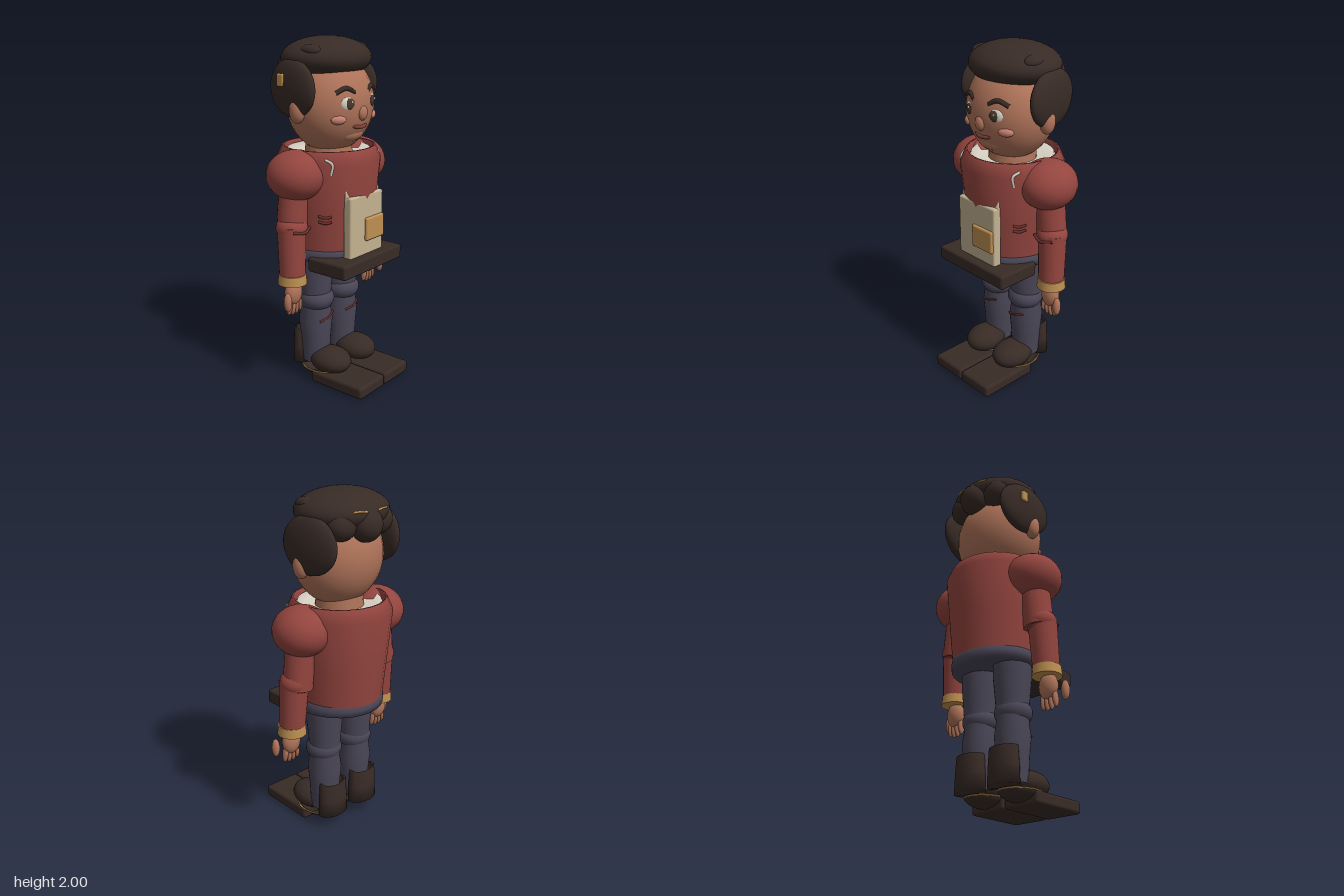
import * as THREE from 'three';
import { RoundedBoxGeometry } from 'three/addons/geometries/RoundedBoxGeometry.js';

const mat = (color) => new THREE.MeshStandardMaterial({ color, side: THREE.DoubleSide });
const RED = mat(0x94453f), DARK_RED = mat(0x6b2e2b), SLATE = mat(0x4a4657), DARK = mat(0x382b26),
  SKIN = mat(0xb0745a), TAN = mat(0xc4b392), GOLD = mat(0xbd8f50), CREAM = mat(0xd8d2c4),
  BLUSH = mat(0xc98072), BROWN = mat(0x4a382f), LIP = mat(0x7c4038);

export function createModel() {
  const root = new THREE.Group();

  const add = (name, geo, material, pos = [0, 0, 0], rot = [0, 0, 0], scale = [1, 1, 1], parent = root) => {
    const m = new THREE.Mesh(geo, material);
    m.name = name;
    m.position.set(...pos);
    m.rotation.set(...rot);
    m.scale.set(...scale);
    parent.add(m);
    return m;
  };
  const unitBall = new THREE.SphereGeometry(1, 28, 20);
  const ball = (name, material, pos, radii, rot, parent) => add(name, unitBall, material, pos, rot, radii, parent);
  const box = (name, material, x, y, z, w, h, d, r, parent) =>
    add(name, new RoundedBoxGeometry(w, h, d, 3, r), material, [x, y, z], undefined, undefined, parent);
  const lathe = (name, material, pts, pos, scale, parent) =>
    add(name, new THREE.LatheGeometry(pts.map((p) => new THREE.Vector2(...p)), 28), material, pos, undefined, scale, parent);
  const tube = (name, material, pts, r, parent) =>
    add(name, new THREE.TubeGeometry(new THREE.CatmullRomCurve3(pts.map((p) => new THREE.Vector3(...p))), 14, r, 8),
      material, undefined, undefined, undefined, parent);
  const group = (name) => {
    const g = new THREE.Group();
    g.name = name;
    root.add(g);
    return g;
  };

  // Torso: open jacket with a shirt inside, and a waistband
  lathe('jacket', RED, [[0.25, 0.79], [0.275, 1.05], [0.3, 1.32], [0.268, 1.392], [0.255, 1.392], [0.25, 1.35]], [0, 0, -0.06]);
  lathe('shirtCollar', CREAM, [[0.25, 1.34], [0.235, 1.375], [0.2, 1.35], [0, 1.34]], [0, 0, -0.06]);
  lathe('waistband', SLATE, [[0, 0.765], [0.235, 0.755], [0.258, 0.757], [0.262, 0.79], [0.255, 0.822], [0.24, 0.822]], [0, 0, -0.055]);

  // Tray with the upright bag
  box('tray', DARK, 0, 0.747, 0.14, 0.54, 0.085, 0.27, 0.015);
  box('bag', TAN, 0, 0.96, 0.193, 0.3, 0.36, 0.055, 0.012);
  box('bagPocket', GOLD, 0.06, 0.935, 0.225, 0.165, 0.135, 0.025, 0.011);
  for (const s of [-1, 1])
    add('bagCorner', new THREE.ConeGeometry(0.022, 0.07, 12), TAN, [s * 0.14, 1.155, 0.18], [0, 0, -s * 0.25]);

  // Head and face
  add('neck', new THREE.CylinderGeometry(0.13, 0.14, 0.12, 24), SKIN, [0, 1.38, -0.06]);
  ball('head', SKIN, [0, 1.63, -0.045], [0.265, 0.28, 0.235]);
  ball('chin', SKIN, [0, 1.475, 0.09], [0.11, 0.055, 0.06]);
  ball('nose', SKIN, [0, 1.59, 0.18], [0.035, 0.042, 0.025]);
  tube('mouth', LIP, [[-0.07, 1.528, 0.148], [-0.035, 1.515, 0.166], [0, 1.511, 0.17], [0.035, 1.515, 0.166], [0.07, 1.528, 0.148]], 0.011);
  for (const s of [-1, 1]) {
    ball('ear', SKIN, [s * 0.272, 1.612, -0.055], [0.042, 0.072, 0.046]);
    ball('eyeWhite', CREAM, [s * 0.105, 1.648, 0.155], [0.044, 0.04, 0.02], [0, s * 0.35, 0]);
    ball('iris', BROWN, [s * 0.1, 1.648, 0.171], [0.028, 0.03, 0.01], [0, s * 0.35, 0]);
    ball('eyeGlint', CREAM, [s * 0.1 + 0.008, 1.658, 0.181], [0.007, 0.007, 0.004]);
    tube('eyebrow', DARK, [[s * 0.055, 1.705, 0.168], [s * 0.11, 1.73, 0.152], [s * 0.168, 1.705, 0.125]], 0.013);
    ball('cheek', BLUSH, [s * 0.152, 1.563, 0.134], [0.044, 0.025, 0.02], [0, s * 0.55, 0]);
  }

  // Hair
  ball('hairTop', DARK, [0, 1.878, -0.075], [0.272, 0.121, 0.243]);
  ball('hairBack', DARK, [0, 1.825, -0.26], [0.09, 0.095, 0.09]);
  for (const s of [-1, 1]) {
    ball('hairSide', DARK, [s * 0.252, 1.725, -0.105], [0.054, 0.16, 0.18], [0, s * 0.15, 0]);
    ball('hairBackLobe', DARK, [s * 0.13, 1.83, -0.21], [0.09, 0.085, 0.08]);
    ball('hairTuft', DARK, [s * 0.2, 1.925, -0.02], [0.045, 0.035, 0.07]);
    tube('hairPin', GOLD, [[s * 0.04, 1.9, -0.308], [s * 0.08, 1.905, -0.302], [s * 0.12, 1.903, -0.288]], 0.006);
  }
  box('hairClip', GOLD, -0.296, 1.77, -0.15, 0.025, 0.07, 0.05, 0.01);

  // Arms
  for (const s of [-1, 1]) {
    const arm = group(s > 0 ? 'leftArm' : 'rightArm');
    ball('shoulder', RED, [s * 0.28, 1.255, -0.065], [0.162, 0.142, 0.17], undefined, arm);
    add('upperArm', new THREE.CylinderGeometry(0.085, 0.085, 0.26, 24), RED, [s * 0.305, 1.06, -0.068], [0, 0, s * 0.1], undefined, arm);
    ball('elbow', RED, [s * 0.325, 0.965, -0.06], [0.09, 0.075, 0.09], undefined, arm);
    add('forearm', new THREE.CylinderGeometry(0.082, 0.074, 0.28, 24), RED, [s * 0.337, 0.835, -0.05], [-0.04, 0, s * 0.04], undefined, arm);
    add('cuff', new THREE.CylinderGeometry(0.078, 0.083, 0.055, 24), GOLD, [s * 0.345, 0.676, -0.042], undefined, undefined, arm);
    ball('palm', SKIN, [s * 0.347, 0.595, -0.035], [0.058, 0.075, 0.042], undefined, arm);
    for (let i = 0; i < 4; i++)
      ball('finger', SKIN, [s * (0.307 + i * 0.027), 0.52 + (i % 3 ? -0.005 : 0.004), -0.03], [0.015, 0.052, 0.02], [0, 0, s * (i - 1.5) * 0.06], arm);
    ball('thumb', SKIN, [s * 0.432, 0.565, 0], [0.023, 0.055, 0.024], undefined, arm);
    // Sleeve crease, side seam tabs and lapel tip
    tube('elbowCrease', DARK_RED, [[s * 0.26, 0.965, 0.015], [s * 0.32, 0.95, 0.034], [s * 0.39, 0.96, 0.008]], 0.008, arm);
    for (const y of [1.0, 1.03])
      tube('sideTab', DARK_RED, [[s * 0.2, y, 0.125], [s * 0.225, y - 0.005, 0.1], [s * 0.25, y + 0.006, 0.07]], 0.008);
    tube('lapelEdge', CREAM, [[s * 0.232, 1.355, 0.105], [s * 0.214, 1.33, 0.141], [s * 0.215, 1.27, 0.133]], 0.008);
  }

  // Legs, boots and long soles
  for (const s of [-1, 1]) {
    const leg = group(s > 0 ? 'leftLeg' : 'rightLeg');
    const x = s * 0.12;
    lathe('trouserLeg', SLATE, [[0.082, 0.1], [0.09, 0.25], [0.1, 0.36], [0.09, 0.43], [0.094, 0.55], [0.108, 0.7], [0.108, 0.78]], [x, 0, -0.065], undefined, leg);
    ball('knee', SLATE, [x, 0.49, -0.058], [0.106, 0.08, 0.105], undefined, leg);
    tube('shinStitch', DARK_RED, [[x - 0.06, 0.368, 0.018], [x, 0.385, 0.036], [x + 0.06, 0.402, 0.018]], 0.006, leg);
    lathe('bootShaft', DARK, [[0, 0.08], [0.1, 0.08], [0.097, 0.18], [0.09, 0.285], [0.075, 0.285]], [x, 0, -0.138], [1, 1, 0.64], leg);
    ball('bootToe', DARK, [x, 0.12, 0.05], [0.107, 0.078, 0.132], undefined, leg);
    add('bootUnderside', new THREE.SphereGeometry(1, 24, 10, 0, Math.PI * 2, Math.PI / 2, Math.PI / 2), DARK, [x, 0.075, -0.01], undefined, [0.105, 0.055, 0.135], leg);
    add('welt', new THREE.TorusGeometry(1, 0.04, 8, 36), GOLD, [x, 0.07, -0.005], [Math.PI / 2, 0, 0], [0.11, 0.135, 0.12], leg);
    box('sole', DARK, s * 0.119, 0.036, 0.178, 0.234, 0.072, 0.372, 0.018, leg);
  }
  return root;
}
